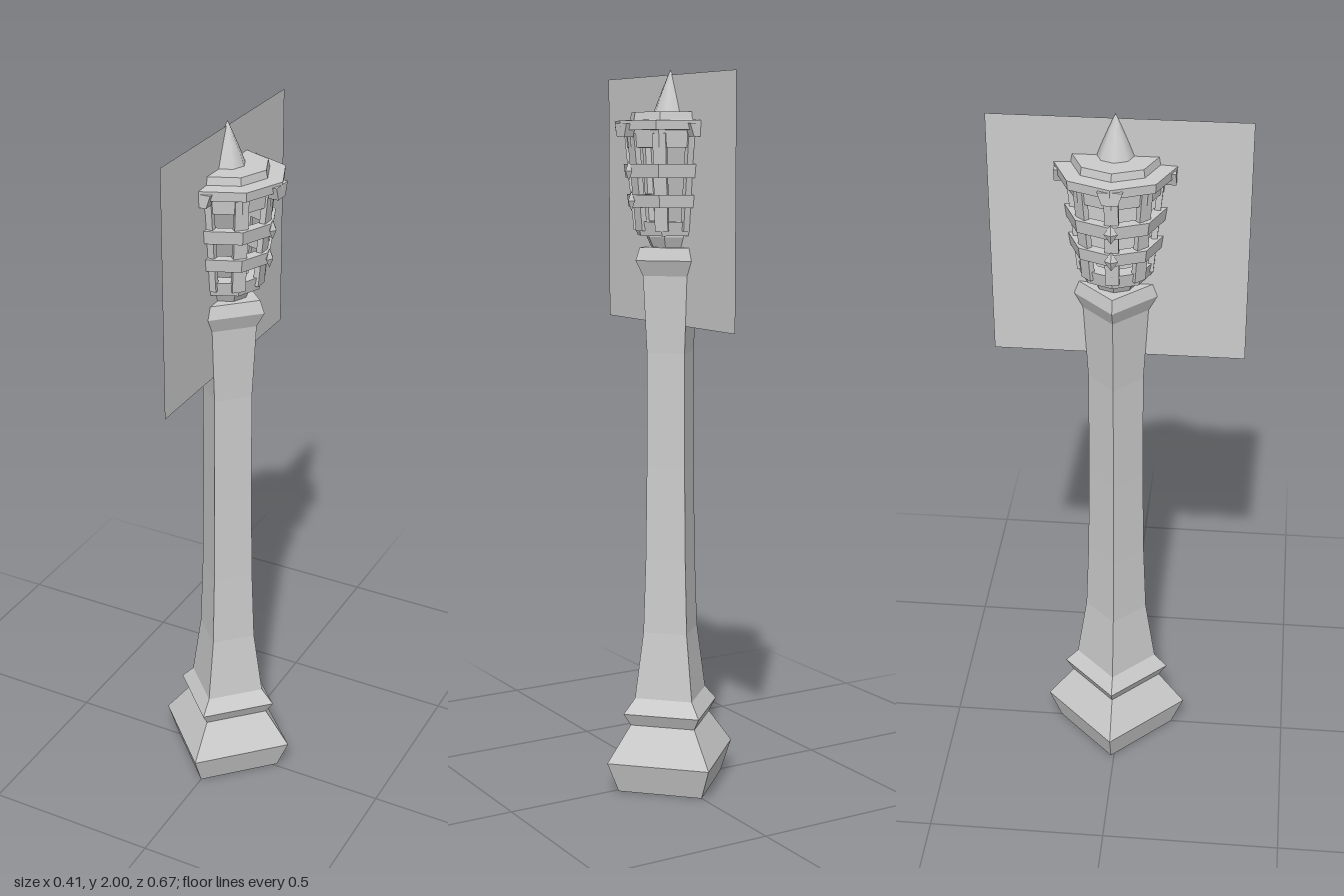
import * as THREE from 'three';

const stone = new THREE.MeshStandardMaterial({ color: 0xcccccc, flatShading: true });
stone.name = 'paleGrey';
const smoothStone = stone.clone();
smoothStone.flatShading = false;
smoothStone.name = 'paleGreySmooth';
const sheet = smoothStone.clone();
sheet.side = THREE.DoubleSide;
sheet.name = 'paleGreySheet';

export function createModel() {
  const model = new THREE.Group();
  model.name = 'lampPost';
  const lamp = new THREE.Group();
  lamp.name = 'lamp';
  lamp.position.z = -0.009;
  model.add(lamp);

  const add = (name, geometry, parent = lamp, material = stone) => {
    const mesh = new THREE.Mesh(geometry, material);
    mesh.name = name;
    parent.add(mesh);
    return mesh;
  };
  // Faceted turning from [radius, height] pairs, corners on the x and z axes
  const turned = (profile, sides) =>
    new THREE.LatheGeometry(profile.map(([r, y]) => new THREE.Vector2(r, y)), sides);
  // Hollow octagonal band
  const band = (y0, y1, r0, r1, inner) =>
    turned([[inner, y0], [r0, y0], [r1, y1], [inner, y1], [inner, y0]], 8);

  // Square pillar with stepped foot and flared capital
  add('pillar', turned([
    [0, 0], [0.17, 0], [0.206, 0.087], [0.13, 0.187], [0.153, 0.222], [0.116, 0.263],
    [0.088, 0.45], [0.08, 0.66], [0.076, 0.92], [0.075, 1.236], [0.087, 1.448],
    [0.11, 1.49], [0.097, 1.525], [0, 1.525],
  ], 4));

  // Lantern bowl and bands
  add('bowl', turned([[0, 1.52], [0.055, 1.525], [0.068, 1.553], [0.068, 1.565], [0, 1.565]], 8));
  add('lowerRim', band(1.557, 1.595, 0.094, 0.102, 0.06));
  add('lowerBand', band(1.633, 1.667, 0.118, 0.123, 0.092));
  add('upperBand', band(1.712, 1.748, 0.127, 0.132, 0.102));
  add('upperRim', band(1.792, 1.845, 0.123, 0.128, 0.1));

  // Eight leaning cage bars
  for (let i = 0; i < 8; i++) {
    const arm = new THREE.Group();
    arm.name = 'cageBar' + (i + 1);
    arm.rotation.y = (i * Math.PI) / 4;
    lamp.add(arm);
    const bar = add('bar', new THREE.BoxGeometry(0.036, 0.26, 0.016), arm);
    bar.position.set(0, 1.7, 0.104);
    bar.rotation.x = 0.1;
  }

  // Pointed studs on the bands
  for (const side of [-1, 1]) {
    for (const [y, r] of [[1.65, 0.122], [1.73, 0.13]]) {
      const stud = add('stud', new THREE.OctahedronGeometry(0.018));
      stud.position.set(side * r, y, 0);
      stud.scale.set(0.6, 1.5, 1);
    }
  }

  // Stepped roof with corner drops and finial
  add('roof', turned([
    [0, 1.838], [0.155, 1.838], [0.157, 1.863], [0.114, 1.865], [0.11, 1.886], [0, 1.886],
  ], 8));
  const drop = new THREE.Shape([[-0.032, 0.035], [-0.02, 0], [0.02, 0], [0.032, 0.035]]
    .map(([x, y]) => new THREE.Vector2(x, y)));
  for (let i = 0; i < 4; i++) {
    const arm = new THREE.Group();
    arm.name = 'roofCorner' + (i + 1);
    arm.rotation.y = (i * Math.PI) / 2;
    lamp.add(arm);
    add('cornerDrop', new THREE.ExtrudeGeometry(drop, { depth: 0.028, bevelEnabled: false }), arm)
      .position.set(0, 1.82, 0.127);
  }
  add('finial', turned([[0.048, 1.885], [0.037, 1.914], [0.019, 1.957], [0, 2]], 8), lamp, smoothStone);

  // Upright sheet through the lantern
  const panel = add('glowPanel', new THREE.PlaneGeometry(0.674, 0.674), model, sheet);
  panel.rotation.y = Math.PI / 2;
  panel.position.y = 1.649;
  return model;
}
